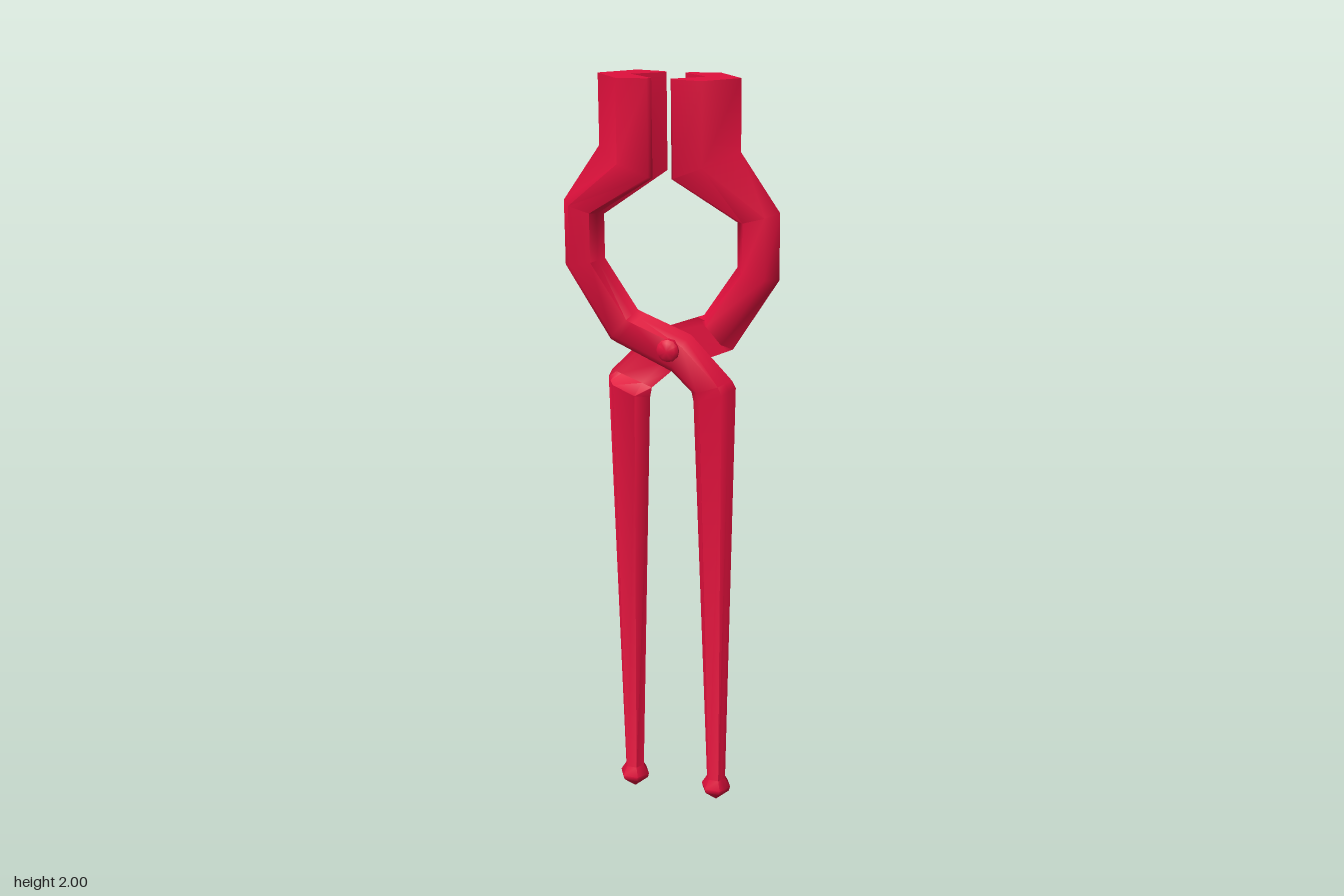
import * as THREE from 'three';
import { toCreasedNormals } from 'three/addons/utils/BufferGeometryUtils.js';

const red = new THREE.MeshStandardMaterial({ color: 0xe0103c });

// Front half of a section as [fraction across, z], from the first edge to the second
const bar = (z) => [[0, 0], [0.25, z], [0.77, z], [0.89, z / 2], [1, 0]];
const jaw = () => [[0, 0], [0.47, 0.078], [0.95, 0.067], [1, 0.056], [0.55, 0]];

// Mirror a half section to the back; a lapped section is cut flat at the middle plane
function ring([x0, y0, x1, y1, half, lapped]) {
  const back = half.slice(1, 4).reverse().map(([t, z]) => [t, lapped ? 0 : -z]);
  return [...half, ...back].map(([t, z]) => [
    x0 + (x1 - x0) * t, y0 + (y1 - y0) * t, lapped ? Math.max(z, 0.001) : z]);
}

function loft(sections) {
  const rings = sections.map(ring);
  const n = rings[0].length;
  const index = [];
  for (let i = 0; i < rings.length - 1; i++) {
    for (let j = 0; j < n; j++) {
      const a = i * n + j, b = i * n + (j + 1) % n;
      index.push(a, a + n, b, b, a + n, b + n);
    }
  }
  // Flat top, fanned from the bottom of the notch (point 4)
  for (let k = 1; k < n - 1; k++) index.push(4, (4 + k) % n, (5 + k) % n);
  const geometry = new THREE.BufferGeometry();
  geometry.setAttribute('position', new THREE.Float32BufferAttribute(rings.flat(2), 3));
  geometry.setIndex(index);
  return toCreasedNormals(geometry, 1.0);
}

export function createModel() {
  const model = new THREE.Group();
  model.name = 'tongs';

  // One half, from the jaw down: x, y of both edges, section, lapped
  const half = loft([
    [-0.187, 2.0, -0.025, 2.0, jaw()],
    [-0.187, 1.82, -0.025, 1.755, jaw()],
    [-0.288, 1.675, -0.178, 1.645, bar(0.041)],
    [-0.288, 1.505, -0.178, 1.53, bar(0.041)],
    [-0.167, 1.315, -0.09, 1.4, bar(0.041)],
    [-0.15, 1.307, -0.072, 1.393, bar(0.041), true],
    [0.0, 1.242, 0.055, 1.345, bar(0.041), true],
    [0.055, 1.192, 0.165, 1.232, bar(0.041), true],
    [0.06, 1.165, 0.175, 1.212, bar(0.039)],
    [0.094, 0.07, 0.147, 0.07, bar(0.024)],
    // Knob at the end of the handle
    [0.079, 0.045, 0.162, 0.045, bar(0.036)],
    [0.082, 0.032, 0.158, 0.032, bar(0.033)],
    [0.12, 0.0, 0.121, 0.0, bar(0.001)],
  ]);

  // The second half is the first turned round
  const halves = new THREE.Group();
  halves.name = 'tongHalves';
  ['frontHalf', 'backHalf'].forEach((name, i) => {
    const mesh = new THREE.Mesh(half, red);
    mesh.name = name;
    mesh.rotation.y = i * Math.PI;
    halves.add(mesh);
  });
  // Slight lean of the pair
  halves.rotation.z = 0.01;
  halves.position.x = 0.012;
  model.add(halves);

  // Pivot rivet with low domed heads
  const profile = [[0, -0.058], [0.022, -0.055], [0.03, -0.047], [0.03, 0.047], [0.022, 0.055], [0, 0.058]];
  const rivet = new THREE.Mesh(
    toCreasedNormals(new THREE.LatheGeometry(profile.map((p) => new THREE.Vector2(...p)), 12), 0.7), red);
  rivet.name = 'pivotRivet';
  rivet.rotation.x = Math.PI / 2;
  rivet.position.set(0.005, 1.31, 0);
  model.add(rivet);

  return model;
}
